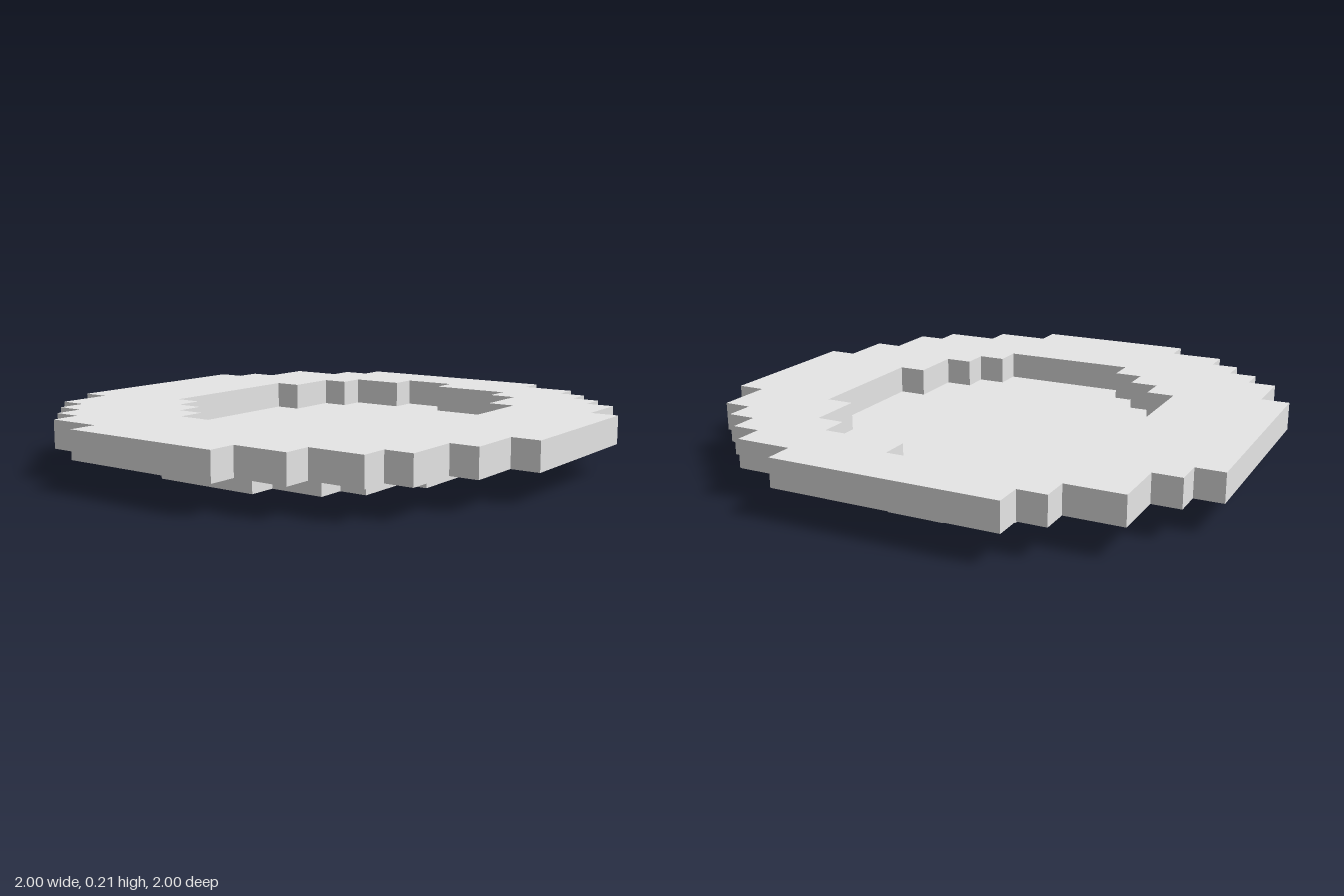
import * as THREE from 'three';

const CELLS = 19;
const CELL = 2 / CELLS;

// Each row is [first column, end column], running from back to front.
const RIM_ROWS = [
  [6, 14], [4, 15], [3, 17], [2, 17], [1, 18], [1, 19],
  [0, 19], [0, 19], [0, 19], [0, 19], [0, 19], [0, 19],
  [1, 19], [1, 18], [2, 18], [2, 17], [3, 16], [5, 15], [7, 13],
];
const OPENING_ROWS = [
  [7, 13], [6, 15], [5, 16], [4, 16], [4, 17], [4, 17],
  [4, 16], [4, 16], [5, 16], [6, 15], [8, 13],
];
const FLOOR_ROWS = [
  [7, 12], [5, 14], [4, 15], [4, 16], [3, 16], [3, 17], [3, 17],
  [3, 16], [4, 16], [4, 16], [5, 15], [7, 13],
];

// Stepped counter-clockwise outline around a stack of rows; shape y is world -z.
function steppedOutline(rows, firstRow) {
  const side = (column) => rows.flatMap((row, i) => [[row[column], firstRow + i], [row[column], firstRow + i + 1]]);
  const corners = [...side(0), ...side(1).reverse()];
  const neighbours = (list, i) => [list[(i + list.length - 1) % list.length], list[(i + 1) % list.length]];
  // Drop repeated points, then points in the middle of a straight edge
  const unique = corners.filter((p, i) => {
    const [a] = neighbours(corners, i);
    return p[0] !== a[0] || p[1] !== a[1];
  });
  const turns = unique.filter((p, i) => {
    const [a, b] = neighbours(unique, i);
    return !((a[0] === p[0] && p[0] === b[0]) || (a[1] === p[1] && p[1] === b[1]));
  });
  return turns.map(([c, r]) => new THREE.Vector2(c * CELL - 1, 1 - r * CELL));
}

// One-cell-thick slab whose underside sits at the given layer
function slab(name, shape, layer, material) {
  const geometry = new THREE.ExtrudeGeometry(shape, { depth: CELL, bevelEnabled: false });
  geometry.rotateX(-Math.PI / 2);
  geometry.translate(0, layer * CELL, 0);
  const mesh = new THREE.Mesh(geometry, material);
  mesh.name = name;
  return mesh;
}

export function createModel() {
  const group = new THREE.Group();
  group.name = 'steppedBasin';
  const stone = new THREE.MeshStandardMaterial({ color: 0xe6e6e6 });
  stone.name = 'light grey';

  // Sunken floor
  group.add(slab('basinFloor', new THREE.Shape(steppedOutline(FLOOR_ROWS, 3)), 0, stone));

  // Wide rim with the stepped opening
  const rim = new THREE.Shape(steppedOutline(RIM_ROWS, 0));
  rim.holes.push(new THREE.Path(steppedOutline(OPENING_ROWS, 4)));
  group.add(slab('rim', rim, 1, stone));

  return group;
}
